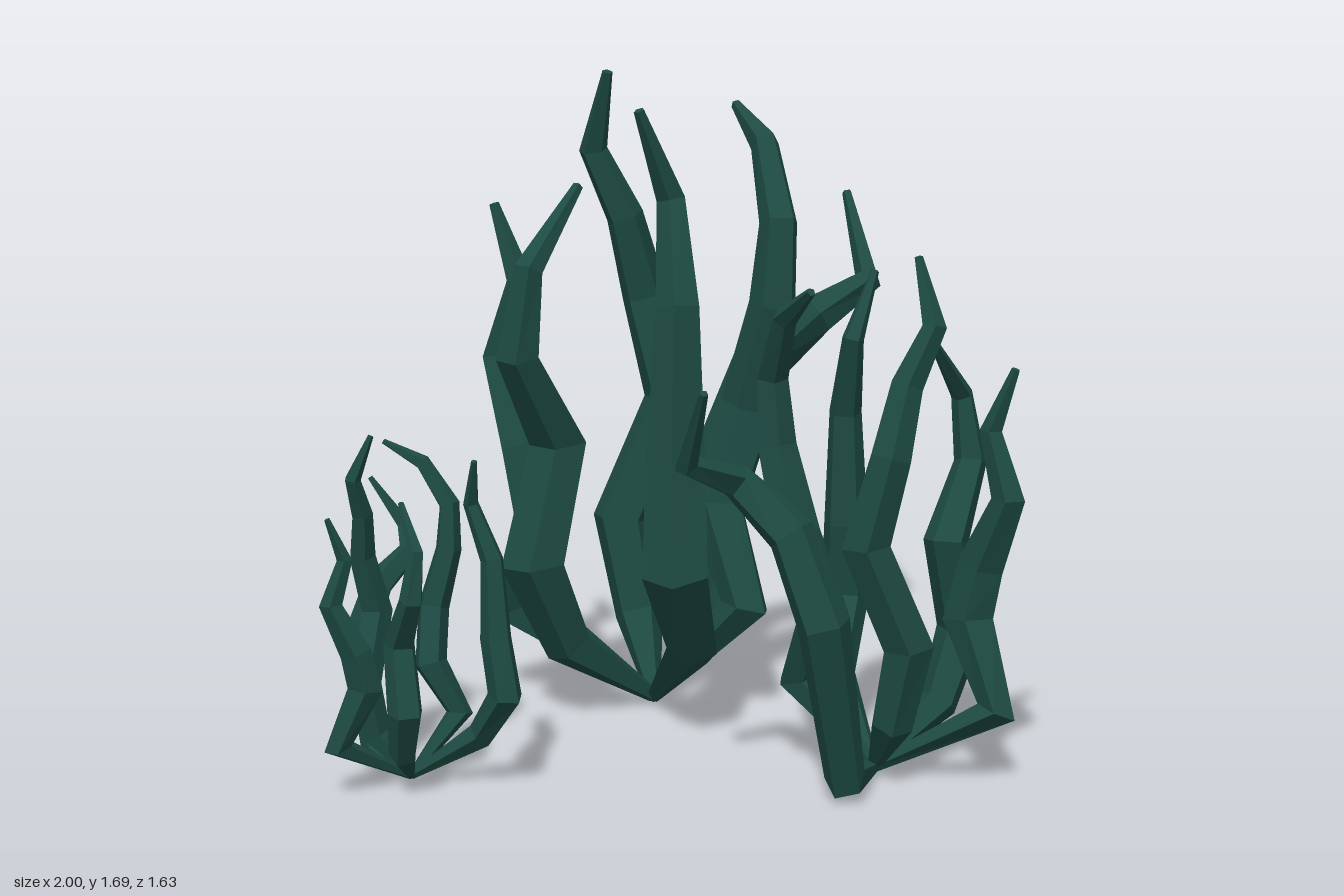
import * as THREE from 'three';

const SIDES = 5;
const material = new THREE.MeshStandardMaterial({ color: 0x1d4a42, flatShading: true });

// Radii along a frond: thin root, thick middle, blunt pointed tip
const RADII7 = [0.02, 0.068, 0.086, 0.078, 0.057, 0.038, 0.014];
const RADII8 = [0.02, 0.068, 0.083, 0.08, 0.066, 0.053, 0.04, 0.014];

// Centre lines, relative to the root of the plant
const FRONDS = {
  sweepingFrond: [[0, 0.02, 0], [0.31, 0.07, -0.11], [0.47, 0.6, -0.14], [0.49, 0.87, -0.03],
    [0.54, 1.02, 0.14], [0.76, 1.1, 0.16], [0.86, 1.34, 0.01]],
  hookedFrond: [[0, 0.02, 0], [-0.24, 0.2, -0.09], [-0.36, 0.43, -0.1], [-0.26, 0.74, -0.1],
    [-0.43, 0.98, -0.08], [-0.42, 1.2, -0.05], [-0.21, 1.4, -0.07]],
  outerFrond: [[0, 0.02, 0], [-0.2, 0.25, 0.3], [-0.36, 0.47, 0.38], [-0.32, 0.74, 0.35],
    [-0.3, 1.12, 0.34], [-0.23, 1.38, 0.26], [-0.34, 1.6, 0.25]],
  bentFrond: [[0, 0.02, 0], [0.07, 0.29, 0.26], [0.11, 0.54, 0.13], [0.2, 0.8, 0.17],
    [0.2, 1.08, 0.25], [0.21, 1.3, 0.26], [0.29, 1.5, 0.15], [0.38, 1.6, -0.02]],
  tallFrond: [[0, 0.02, 0], [0.1, 0.21, -0.14], [0.1, 0.47, -0.2], [0.21, 0.8, -0.11],
    [0.18, 1.08, -0.18], [0.11, 1.3, -0.19], [0.045, 1.48, -0.245], [0.01, 1.69, -0.16]],
  wavyFrond: [[0, 0.02, 0], [-0.14, 0.24, -0.38], [-0.17, 0.52, -0.25], [-0.18, 0.7, -0.29],
    [-0.16, 0.93, -0.4], [-0.16, 1.14, -0.33], [-0.17, 1.34, -0.41]],
};

// Faceted tapering tube with one ring per point of the centre line
function frondGeometry(points) {
  const p = points.map((a) => new THREE.Vector3(...a));
  const radii = p.length === 8 ? RADII8 : RADII7;
  const last = p.length - 1;
  const positions = [];
  const index = [];
  const u = new THREE.Vector3();
  p.forEach((c, i) => {
    const before = c.clone().sub(p[Math.max(i - 1, 0)]).normalize();
    const after = p[Math.min(i + 1, last)].clone().sub(c).normalize();
    const t = before.add(after).normalize();
    // Carry the side direction along so the tube does not twist
    if (i === 0) u.crossVectors(t, new THREE.Vector3(0, 1, 0));
    u.addScaledVector(t, -u.dot(t)).normalize();
    const v = new THREE.Vector3().crossVectors(t, u);
    for (let j = 0; j < SIDES; j++) {
      const a = (j / SIDES) * Math.PI * 2;
      const q = c.clone()
        .addScaledVector(u, Math.cos(a) * radii[i])
        .addScaledVector(v, Math.sin(a) * radii[i]);
      positions.push(q.x, Math.max(q.y, 0), q.z);
    }
  });
  for (let i = 0; i < last; i++) {
    for (let j = 0; j < SIDES; j++) {
      const a = i * SIDES + j;
      const b = i * SIDES + ((j + 1) % SIDES);
      index.push(a, b, b + SIDES, a, b + SIDES, a + SIDES);
    }
  }
  // Root and tip caps
  const tip = last * SIDES;
  for (let j = 1; j < SIDES - 1; j++) {
    index.push(0, j + 1, j, tip, tip + j, tip + j + 1);
  }
  const g = new THREE.BufferGeometry();
  g.setAttribute('position', new THREE.Float32BufferAttribute(positions, 3));
  g.setIndex(index);
  const flat = g.toNonIndexed();
  flat.computeVertexNormals();
  return flat;
}

export function createModel() {
  const model = new THREE.Group();
  model.name = 'seaweed';
  const geometries = Object.entries(FRONDS).map(([name, pts]) => [name, frondGeometry(pts)]);

  // The same plant at three sizes, each turned differently
  const plants = [
    ['largePlant', 0.13, -0.36, 1, 0],
    ['mediumPlant', -0.02, 0.47, 0.75, Math.PI],
    ['smallPlant', -0.765, -0.37, 0.5, 1.03],
  ];
  for (const [name, x, z, scale, turn] of plants) {
    const plant = new THREE.Group();
    plant.name = name;
    for (const [frondName, geometry] of geometries) {
      const frond = new THREE.Mesh(geometry, material);
      frond.name = frondName;
      plant.add(frond);
    }
    plant.position.set(x, 0, z);
    plant.rotation.y = turn;
    plant.scale.setScalar(scale);
    model.add(plant);
  }
  return model;
}
